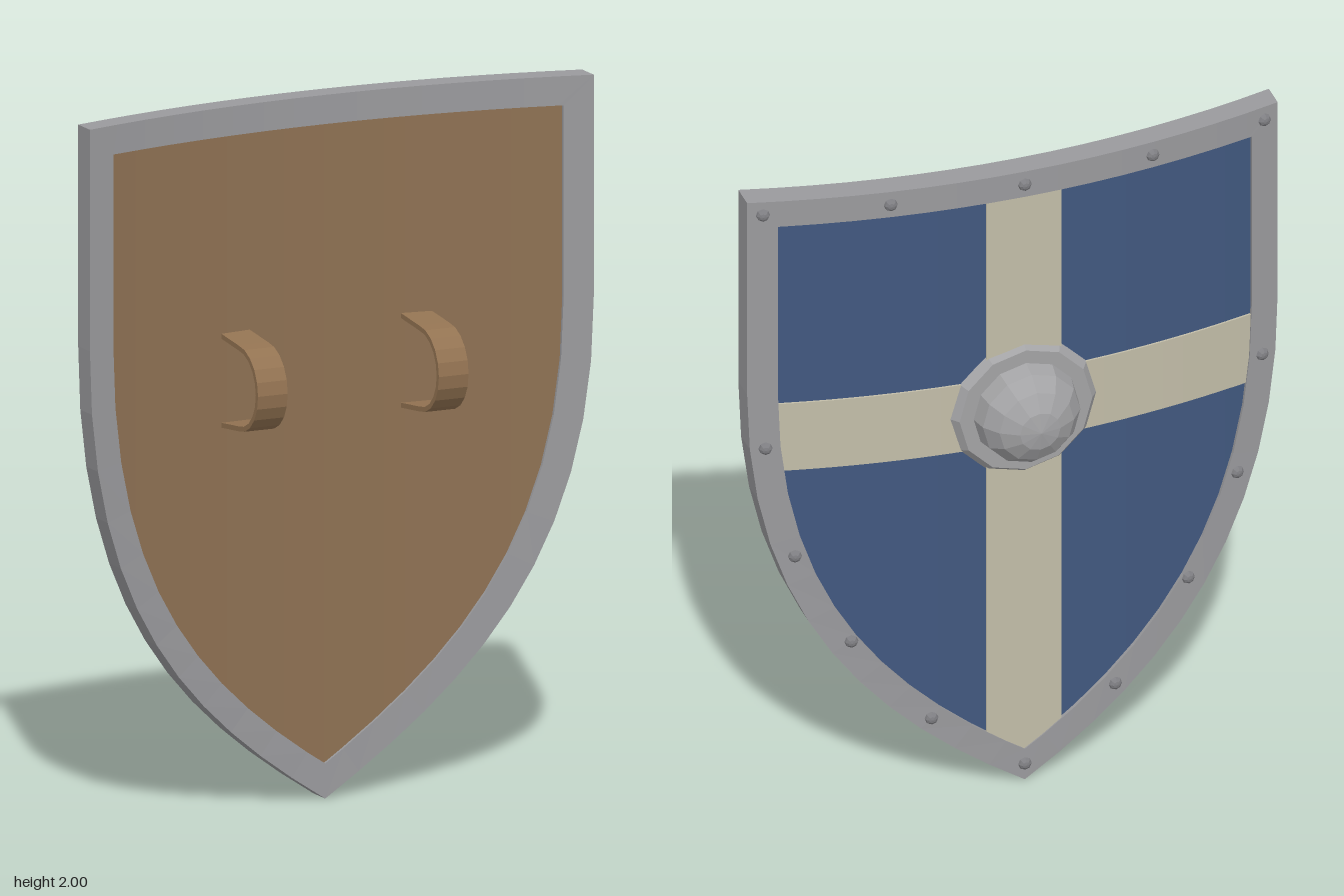
import * as THREE from 'three';

const flat = (name, color) => {
  const m = new THREE.MeshStandardMaterial({ color, flatShading: true });
  m.name = name;
  return m;
};

const W = 0.78, TOP = 2, RIM = 0.083, BOSS_Y = 1.222;
const bend = (x) => 0.17 * x * x; // the shield curves back toward its sides

// Collects quads (counter-clockwise from outside) into one geometry
function quadBuilder() {
  const pos = [];
  return {
    quad(a, b, c, d) { for (const p of [a, b, c, a, c, d]) pos.push(...p); },
    build() {
      const g = new THREE.BufferGeometry();
      g.setAttribute('position', new THREE.Float32BufferAttribute(pos, 3));
      g.computeVertexNormals();
      return g;
    },
  };
}

// Heater outline, counter-clockwise from the top left corner of the bearer
function outline() {
  const pts = [];
  for (let i = 0; i < 16; i++) pts.push(new THREE.Vector2(W - (2 * W * i) / 16, TOP));
  const side = new THREE.CubicBezierCurve(
    new THREE.Vector2(W, 1.37), new THREE.Vector2(W, 0.61),
    new THREE.Vector2(0.42, 0.27), new THREE.Vector2(0, 0)).getPoints(12);
  pts.push(new THREE.Vector2(-W, TOP));
  side.forEach((p) => pts.push(new THREE.Vector2(-p.x, p.y)));
  side.slice(0, -1).reverse().forEach((p) => pts.push(p.clone()));
  return pts;
}

// Mitred inward offset of a closed outline
function inset(pts, d) {
  const n = pts.length;
  const normal = (a, b) => new THREE.Vector2(a.y - b.y, b.x - a.x).normalize();
  return pts.map((p, i) => {
    const n1 = normal(pts[(i + n - 1) % n], p), n2 = normal(p, pts[(i + 1) % n]);
    const k = d / (1 + n1.dot(n2));
    return p.clone().add(n1.add(n2).multiplyScalar(k));
  });
}

// Frame between two outlines
function rimGeometry(outer, inner, zFace, zBack) {
  const q = quadBuilder(), n = outer.length;
  const at = (p, z) => [p.x, p.y, z + bend(p.x)];
  for (let i = 0; i < n; i++) {
    const j = (i + 1) % n;
    const [a, b, c, d] = [outer[i], outer[j], inner[j], inner[i]];
    q.quad(at(a, zBack), at(b, zBack), at(c, zBack), at(d, zBack));
    q.quad(at(d, zFace), at(c, zFace), at(b, zFace), at(a, zFace));
    q.quad(at(a, zFace), at(b, zFace), at(b, zBack), at(a, zBack));
    q.quad(at(c, zFace), at(d, zFace), at(d, zBack), at(c, zBack));
  }
  return q.build();
}

// Curved slab made of vertical columns between bottom(x) and a level top
function slabGeometry(half, cols, bottom, top, zFace, zBack) {
  const q = quadBuilder();
  const ring = (x) => {
    const f = zFace + bend(x), b = zBack + bend(x), y = bottom(x);
    return [[x, y, b], [x, top, b], [x, top, f], [x, y, f]];
  };
  for (let i = 0; i < cols; i++) {
    const l = ring(-half + (2 * half * i) / cols), r = ring(-half + (2 * half * (i + 1)) / cols);
    for (let k = 0; k < 4; k++) q.quad(l[k], r[k], r[(k + 1) % 4], l[(k + 1) % 4]);
    if (i === 0) q.quad(l[0], l[1], l[2], l[3]);
    if (i === cols - 1) q.quad(r[3], r[2], r[1], r[0]);
  }
  return q.build();
}

// Strap: a half loop whose ends flare slightly into the board
function strapGeometry(width) {
  const path = (r, flare) => {
    const pts = [new THREE.Vector2(-0.02, flare)];
    for (let i = 0; i <= 10; i++) {
      const a = Math.PI / 2 - (Math.PI * i) / 10;
      pts.push(new THREE.Vector2(0.1 + r * Math.cos(a), r * Math.sin(a)));
    }
    pts.push(new THREE.Vector2(-0.02, -flare));
    return pts;
  };
  const shape = new THREE.Shape([...path(0.122, 0.135), ...path(0.108, 0.121).reverse()]);
  const g = new THREE.ExtrudeGeometry(shape, { depth: width, bevelEnabled: false });
  return g.translate(0, 0, -width / 2).rotateY(-Math.PI / 2);
}

export function createModel() {
  const group = new THREE.Group();
  const steel = flat('rim steel', 0x9a9a9d);
  const bossSteel = flat('boss steel', 0xa3a3a5);
  const rivetSteel = flat('rivet steel', 0x7f7f83);
  const blue = flat('blue paint', 0x41587f);
  const cream = flat('cream paint', 0xc2bda8);
  const wood = flat('wood', 0x8e7153);
  const leather = flat('leather', 0x937352);
  const add = (name, geometry, material, x = 0, y = 0, z = 0) => {
    const mesh = new THREE.Mesh(geometry, material);
    mesh.name = name;
    mesh.position.set(x, y, z);
    group.add(mesh);
    return mesh;
  };

  const outer = outline();
  const middle = inset(outer, RIM / 2);
  add('rim', rimGeometry(outer, inset(outer, RIM), -0.088, -0.015), steel);

  // Lower edge of the boards, tucked inside the rim
  const lower = middle.slice(17, 30); // from the side down to the tip
  const bottom = (x) => {
    const w = Math.abs(x);
    for (let i = 0; i < lower.length - 1; i++) {
      const a = lower[i], b = lower[i + 1];
      if (w <= -a.x && w >= -b.x && a.x !== b.x) {
        return THREE.MathUtils.lerp(a.y, b.y, (w + a.x) / (a.x - b.x));
      }
    }
    return lower[0].y;
  };
  const half = W - RIM / 2, top = TOP - RIM / 2;
  add('backBoard', slabGeometry(half, 24, bottom, top, -0.05, -0.024), wood);
  add('paintedFace', slabGeometry(half, 24, bottom, top, -0.077, -0.05), blue);

  // Painted cross
  add('verticalBand', slabGeometry(0.11, 4, bottom, top, -0.084, -0.076), cream);
  add('horizontalBand', slabGeometry(0.72, 24, () => 1.11, 1.33, -0.083, -0.076), cream);

  // Boss: bevelled flange and dome
  const flange = new THREE.CylinderGeometry(0.195, 0.215, 0.024, 12).rotateX(-Math.PI / 2);
  add('bossFlange', flange, bossSteel, 0, BOSS_Y, -0.086);
  const dome = new THREE.SphereGeometry(0.155, 12, 4, 0, Math.PI * 2, 0, Math.PI / 2);
  dome.scale(1, 0.135 / 0.155, 1).rotateX(-Math.PI / 2);
  add('bossDome', dome, bossSteel, 0, BOSS_Y, -0.093);

  // Rivets, mirrored left and right
  const rivet = new THREE.SphereGeometry(0.02, 8, 3, 0, Math.PI * 2, 0, Math.PI / 2);
  rivet.scale(1, 0.75, 1).rotateX(-Math.PI / 2);
  const spots = [[0, 1.958], [0.385, 1.958], [0.737, 1.958], [0.73, 1.19],
    [0.65, 0.83], [0.495, 0.535], [0.27, 0.252], [0, 0.053]];
  for (const [x, y] of spots) {
    for (const s of x ? [1, -1] : [1]) {
      const m = add('rivet', rivet, rivetSteel, s * x, y, -0.087 + bend(x));
      m.rotation.y = -Math.atan(0.34 * s * x);
    }
  }

  // Arm straps
  for (const s of [1, -1]) {
    add(s > 0 ? 'leftStrap' : 'rightStrap', strapGeometry(0.092), leather, s * 0.28, BOSS_Y, 0);
  }
  return group;
}
